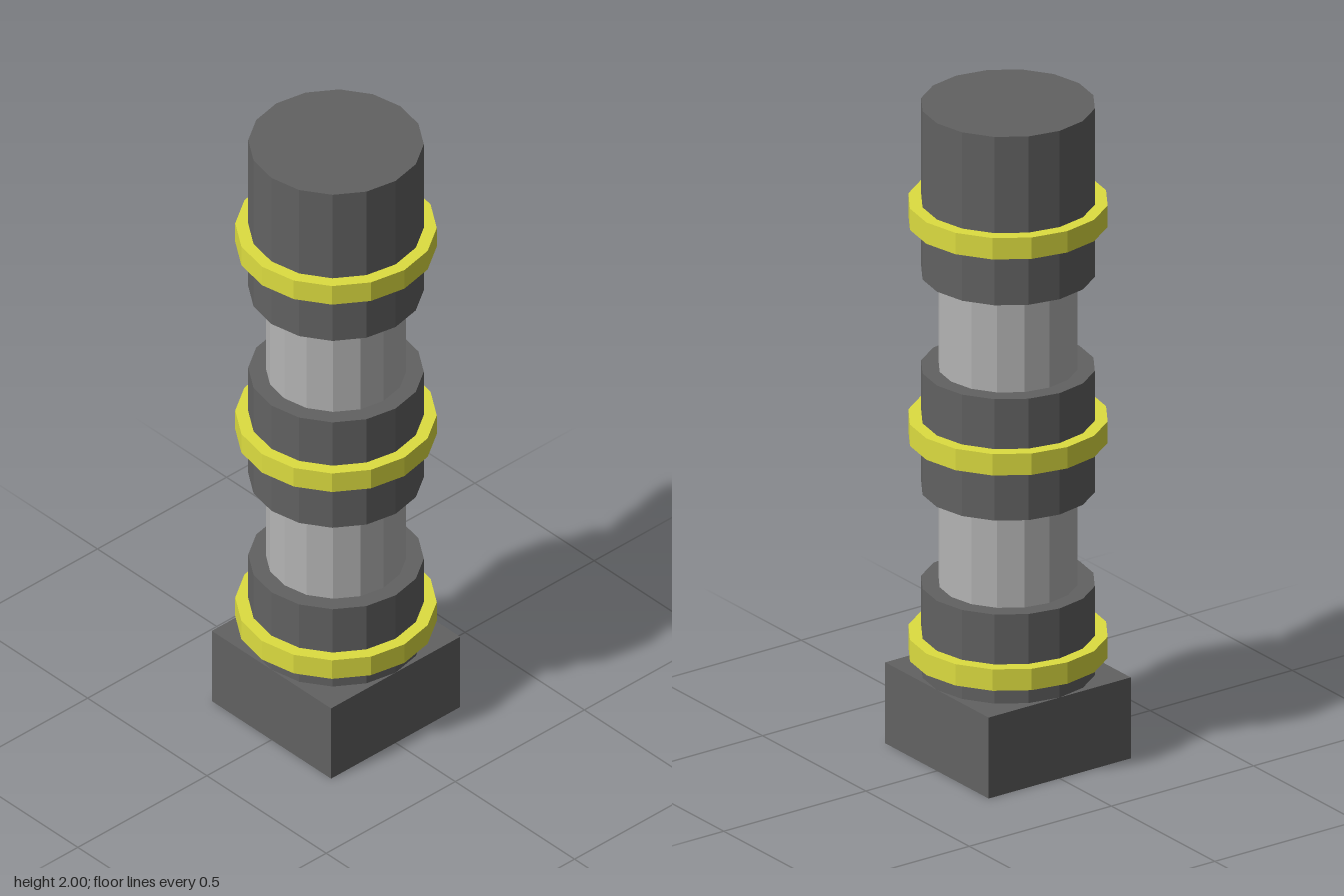
import * as THREE from 'three';

const SIDES = 16;

const paint = (color) => new THREE.MeshStandardMaterial({ color, flatShading: true });

export function createModel() {
  const group = new THREE.Group();
  const dark = paint(0x626262);
  const steel = paint(0xb4b4b4);
  const yellow = paint(0xdddd40);

  const add = (name, geometry, material, y) => {
    const mesh = new THREE.Mesh(geometry, material);
    mesh.name = name;
    mesh.position.y = y;
    group.add(mesh);
  };
  // Upright faceted drum spanning y0 to y1
  const drum = (name, radius, y0, y1, material) =>
    add(name, new THREE.CylinderGeometry(radius, radius, y1 - y0, SIDES), material, (y0 + y1) / 2);

  // Square foot
  add('base', new THREE.BoxGeometry(0.5, 0.25, 0.5), dark, 0.125);

  // Slim shafts between the collars
  drum('lowerShaft', 0.2, 0.525, 0.815, steel);
  drum('upperShaft', 0.2, 1.19, 1.48, steel);

  // Thick collars, each with a raised band
  const collars = [
    ['lower', 0.25, 0.525, 0.338],
    ['middle', 0.815, 1.19, 1.003],
    ['upper', 1.48, 2, 1.67],
  ];
  for (const [name, y0, y1, band] of collars) {
    drum(name + 'Collar', 0.25, y0, y1, dark);
    drum(name + 'Band', 0.287, band - 0.033, band + 0.033, yellow);
  }

  return group;
}
